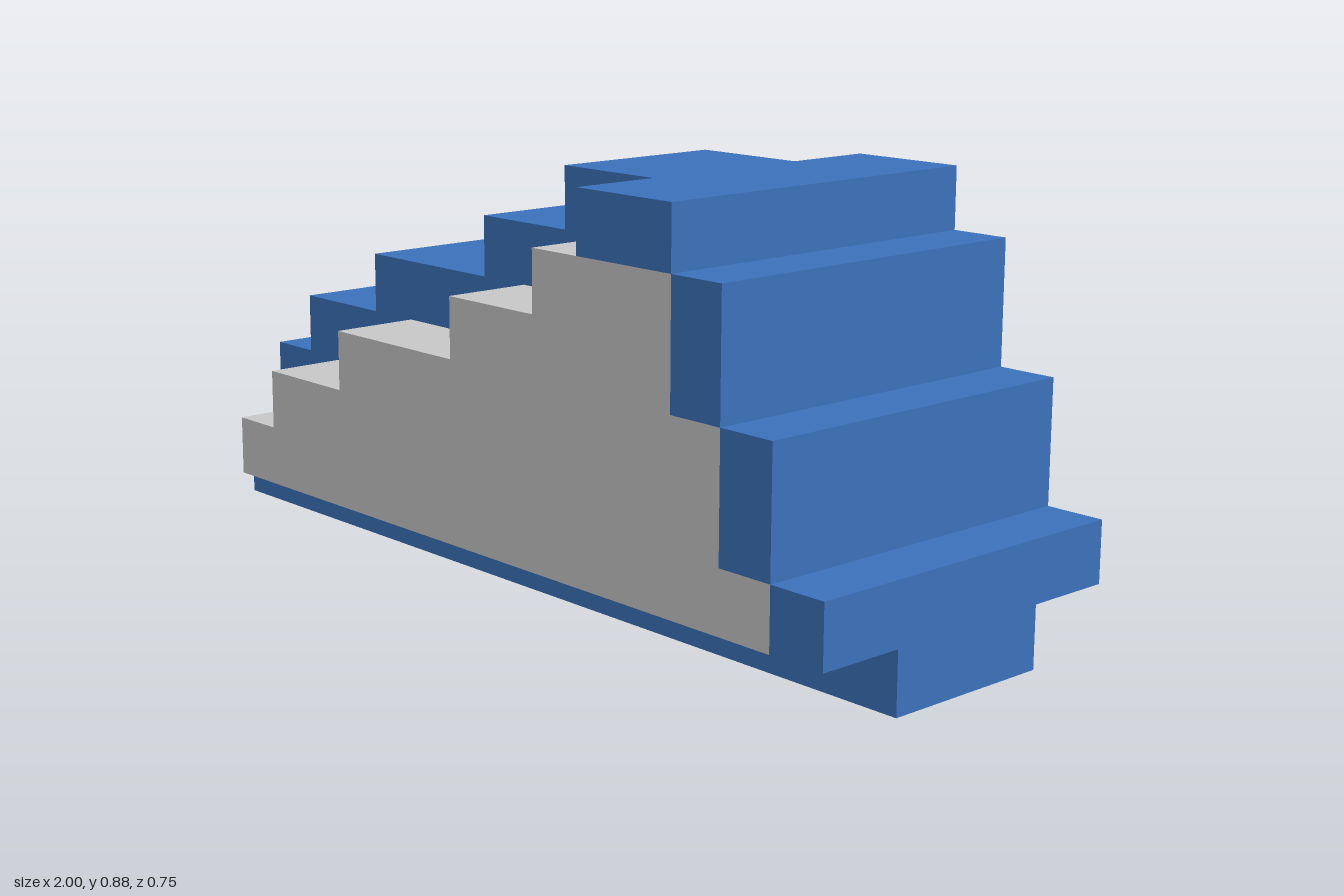
import * as THREE from 'three';

// All sizes are multiples of one grid step.
const U = 0.125;
const INNER = 1.5 * U; // half depth of the middle slab
const OUTER = 3 * U;   // half depth of the whole model

// Extrudes a stepped outline (in grid steps) between two depths.
function slab(outline, z0, z1, material, name) {
  const shape = new THREE.Shape(outline.map(([x, y]) => new THREE.Vector2(x * U, y * U)));
  const geometry = new THREE.ExtrudeGeometry(shape, { depth: z1 - z0, bevelEnabled: false });
  geometry.translate(0, 0, z0);
  const mesh = new THREE.Mesh(geometry, material);
  mesh.name = name;
  return mesh;
}

export function createModel() {
  const blue = new THREE.MeshStandardMaterial({ color: 0x3c72bc });
  blue.name = 'blue';
  const grey = new THREE.MeshStandardMaterial({ color: 0xc8c8c8 });
  grey.name = 'light grey';

  const model = new THREE.Group();
  model.name = 'steppedFin';

  // Middle slab with the full stepped silhouette
  const core = [
    [-8, 0], [8, 0], [8, 2], [7, 2], [7, 4], [6, 4], [6, 6], [5, 6], [5, 7], [1, 7],
    [1, 6], [-1, 6], [-1, 5], [-4, 5], [-4, 4], [-6, 4], [-6, 3], [-7, 3], [-7, 1], [-8, 1],
  ];
  model.add(slab(core, -INNER, INNER, blue, 'middleSlab'));

  // Grey side panels, one step inside the silhouette
  const panel = [
    [-6, 1], [7, 1], [7, 2], [6, 2], [6, 4], [5, 4], [5, 6], [2, 6],
    [2, 5], [0, 5], [0, 4], [-3, 4], [-3, 3], [-5, 3], [-5, 2], [-6, 2],
  ];

  // Blue steps that widen the steep end: x0, x1, y0, y1
  const steps = [[3, 5, 6, 7], [5, 6, 4, 6], [6, 7, 2, 4], [7, 8, 1, 2]];

  for (const [side, z0, z1] of [['front', INNER, OUTER], ['back', -OUTER, -INNER]]) {
    model.add(slab(panel, z0, z1, grey, side + 'Panel'));
    steps.forEach(([x0, x1, y0, y1], i) => {
      const outline = [[x0, y0], [x1, y0], [x1, y1], [x0, y1]];
      model.add(slab(outline, z0, z1, blue, side + 'Step' + (i + 1)));
    });
  }
  return model;
}
